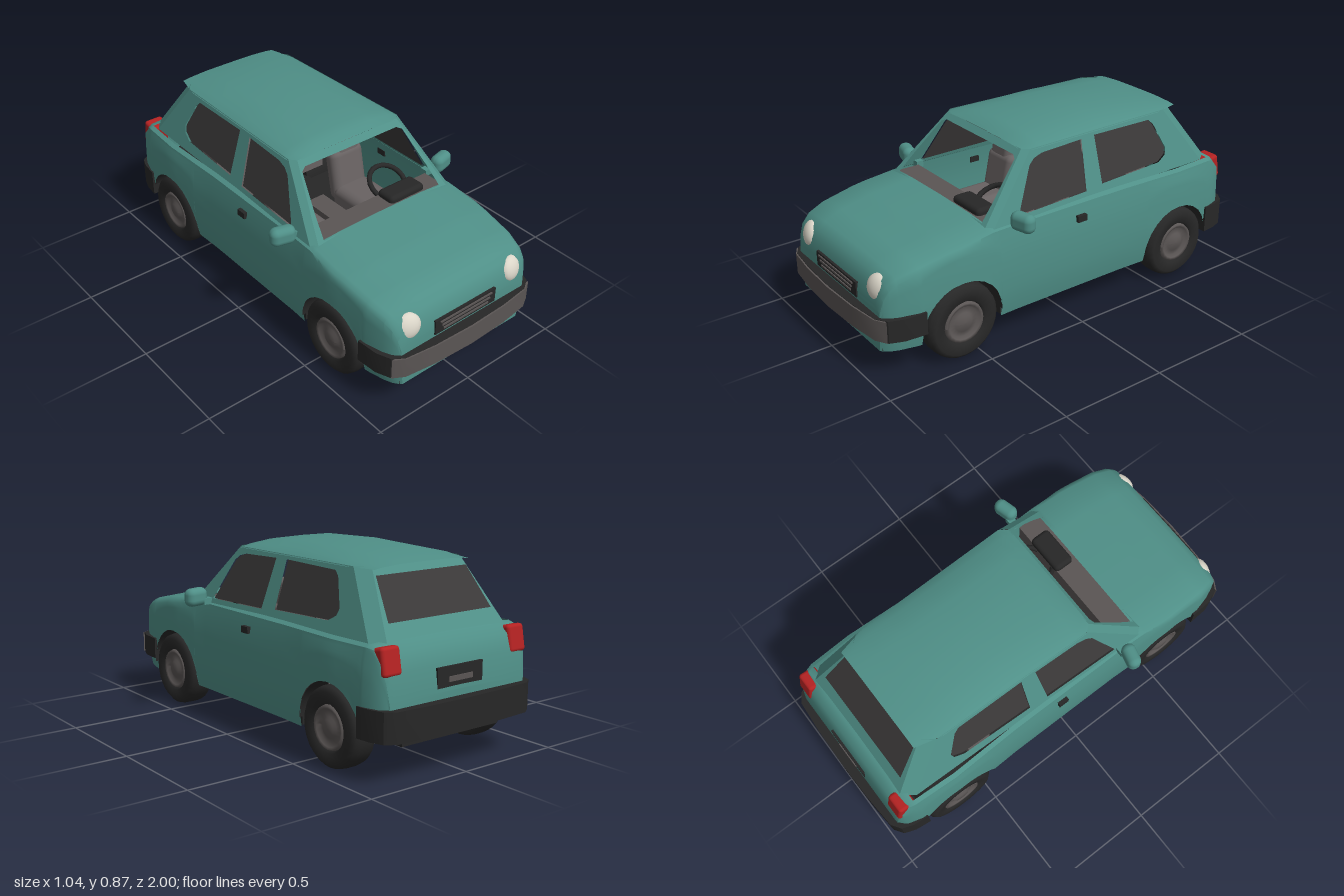
import * as THREE from 'three';
import { toCreasedNormals } from 'three/addons/utils/BufferGeometryUtils.js';
import { RoundedBoxGeometry } from 'three/addons/geometries/RoundedBoxGeometry.js';

const mat = (name, color, side = THREE.FrontSide) => {
  const m = new THREE.MeshStandardMaterial({ color, side });
  m.name = name;
  return m;
};

// piecewise-linear lookup in [[key, value], ...] with rising keys
const lookup = (t, k) => {
  if (k <= t[0][0]) return t[0][1];
  for (let i = 1; i < t.length; i++) {
    if (k <= t[i][0]) {
      const f = (k - t[i - 1][0]) / (t[i][0] - t[i - 1][0]);
      return t[i - 1][1] + f * (t[i][1] - t[i - 1][1]);
    }
  }
  return t[t.length - 1][1];
};

// surface through rows of points; skip(i, j) leaves a cell open
function surface(rows, crease, skip = () => false) {
  const n = rows[0].length, index = [];
  for (let i = 0; i < rows.length - 1; i++) for (let j = 0; j < n - 1; j++) {
    if (skip(i, j)) continue;
    const a = i * n + j, b = a + 1, c = a + n, d = c + 1;
    index.push(a, c, b, b, c, d);
  }
  const g = new THREE.BufferGeometry();
  g.setAttribute('position', new THREE.Float32BufferAttribute(rows.flat(2), 3));
  g.setIndex(index);
  return toCreasedNormals(g, crease);
}

const polygon = (pts) => new THREE.Shape(pts.map((p) => new THREE.Vector2(...p)));

// flat outline placed in space by a rule
function panel(shape, place) {
  const g = new THREE.ShapeGeometry(shape), p = g.attributes.position;
  for (let i = 0; i < p.count; i++) p.setXYZ(i, ...place(p.getX(i), p.getY(i)));
  g.computeVertexNormals();
  return g;
}

const WHEELS = [0.585, -0.64], AXLE = 0.173, ARCH = 0.195;
const TOP = [[-0.955, 0.34], [-0.94, 0.45], [-0.92, 0.525], [-0.88, 0.56], [-0.85, 0.565], [0.42, 0.565],
  [0.65, 0.537], [0.8, 0.508], [0.88, 0.483], [0.915, 0.455], [0.935, 0.41], [0.947, 0.35]];
const WIDTH = [[-0.955, 0.37], [-0.92, 0.405], [-0.85, 0.425], [-0.64, 0.437], [-0.3, 0.425], [0.3, 0.425],
  [0.585, 0.435], [0.8, 0.42], [0.9, 0.395], [0.93, 0.375], [0.947, 0.355]];
const FLANK = [[0.13, 0.955], [0.2, 0.985], [0.3, 1], [0.42, 0.99], [0.5, 0.975], [0.56, 0.93]];

// cabin planes: side, windscreen and hatch
const cabX = (y, z) => 0.385 + 0.02 * z - 0.31 * (y - 0.56);
const screenZ = (y) => 0.17 + 0.945 * (0.835 - y);
const hatchZ = (y) => -0.69 - 0.7 * (0.82 - y);

export function createModel() {
  const car = new THREE.Group();
  car.name = 'hatchback';
  const paint = mat('teal paint', 0x4f8f87, THREE.DoubleSide);
  const black = mat('black trim', 0x272727, THREE.DoubleSide);
  const glass = mat('dark glass', 0x3b3939, THREE.DoubleSide);
  const grey = mat('grey plastic', 0x5a5554);
  const cloth = mat('seat cloth', 0x686262);
  const cream = mat('headlamp cream', 0xdbd6c9);
  const red = mat('lamp red', 0xb32222);
  const add = (name, geo, m, x = 0, y = 0, z = 0, parent = car) => {
    const mesh = new THREE.Mesh(geo, m);
    mesh.name = name;
    mesh.position.set(x, y, z);
    parent.add(mesh);
    return mesh;
  };
  const box = (w, h, d) => new THREE.BoxGeometry(w, h, d);

  // lower body: cross-sections along z, sills lifted over the wheels
  const stations = TOP.map((t) => t[0]).concat([-0.3, -0.1, 0.1, 0.3]);
  for (const c of WHEELS) {
    for (let k = 0; k <= 12; k++) stations.push(c + ARCH * Math.cos(k * Math.PI / 12));
    stations.push(c + ARCH + 0.003, c - ARCH - 0.003);
  }
  stations.sort((a, b) => b - a);
  const section = (z) => {
    let low = z < -0.7 ? 0.19 : 0.13;
    for (const c of WHEELS) {
      const d = Math.abs(z - c);
      if (d < ARCH + 0.001) low = AXLE + Math.sqrt(Math.max(0, ARCH ** 2 - d ** 2));
    }
    const top = lookup(TOP, z), w = lookup(WIDTH, z), shoulder = top - 0.04, half = [];
    for (let k = 0; k <= 6; k++) {
      const y = low + (shoulder - low) * k / 6;
      half.push([w * lookup(FLANK, y), y, z]);
    }
    half.push([w * 0.95, top - 0.024, z], [w * 0.905, top - 0.012, z], [w * 0.55, top - 0.003, z]);
    const right = half.map(([x, y]) => [-x, y, z]).reverse();
    return [...half, [0, top, z], ...right];
  };
  const rows = stations.map(section);
  const closed = (r) => r.map(([, y, z]) => [0, y, z]);
  rows.unshift(closed(rows[0]));
  rows.push(closed(rows[rows.length - 1]));
  const overCabin = (i, j) => j >= 8 && j <= 11 && rows[i][0][2] <= 0.421 && rows[i + 1][0][2] >= -0.851;
  add('lowerBody', surface(rows, 0.7, overCabin), paint);

  // underside
  add('floor', box(0.54, 0.06, 1.84), black, 0, 0.163, 0.01);
  add('floorMiddle', box(0.8, 0.05, 0.82), black, 0, 0.157, -0.025);
  add('floorFront', box(0.7, 0.05, 0.15), black, 0, 0.157, 0.865);
  add('floorRear', box(0.76, 0.04, 0.11), black, 0, 0.21, -0.89);

  // cabin sides with window openings, pillars and glass
  const low = 0.545, high = 0.818;
  const windows = [
    [[0.275, 0.568], [0.175, 0.755], [0.145, 0.778], [0.1, 0.79], [-0.125, 0.796], [-0.105, 0.575]],
    [[-0.2, 0.585], [-0.2, 0.798], [-0.53, 0.792], [-0.555, 0.77], [-0.61, 0.65], [-0.6, 0.62], [-0.555, 0.595]],
  ];
  for (const s of [1, -1]) {
    const side = polygon([[screenZ(low) - 0.03, low], [screenZ(high) - 0.03, high],
      [hatchZ(high) + 0.06, high], [hatchZ(low) + 0.06, low]]);
    side.holes = windows.map(polygon);
    add('cabinSide', panel(side, (z, y) => [s * cabX(y, z), y, z]), paint);
    for (const w of windows) {
      add('sideWindow', panel(polygon(w), (z, y) => [s * (cabX(y, z) - 0.008), y, z]), glass);
    }
    const strip = (zEdge, zPlane, inset) => surface([low, high].map((y) => [
      [s * cabX(y, zEdge(y)), y, zEdge(y)], [s * (cabX(y, zEdge(y)) - inset), y, zPlane(y)]]), 0.5);
    add('frontPillar', strip((y) => screenZ(y) - 0.03, screenZ, 0.025), paint);
    add('rearPillar', strip((y) => hatchZ(y) + 0.06, hatchZ, 0.045), paint);
  }

  // open windscreen frame and hatch
  const edge = (y, z, inset) => cabX(y, z) - inset;
  const quad = (xl, yl, xh, yh) => [[-xl, yl], [xl, yl], [xh, yh], [-xh, yh]];
  const frame = polygon(quad(edge(low, screenZ(low) - 0.03, 0.025), low, edge(high, screenZ(high) - 0.03, 0.025), high));
  frame.holes = [polygon([[-0.335, 0.56], [0.335, 0.56], [0.32, 0.64], [0.285, 0.78], [0.26, 0.792],
    [-0.26, 0.792], [-0.285, 0.78], [-0.32, 0.64]])];
  add('windscreenFrame', panel(frame, (x, y) => [x, y, screenZ(y)]), paint);
  const hatch = polygon(quad(edge(low, hatchZ(low) + 0.06, 0.045), low, edge(high, hatchZ(high) + 0.06, 0.045), high));
  add('hatch', panel(hatch, (x, y) => [x, y, hatchZ(y)]), paint);
  add('rearWindow', panel(polygon(quad(0.285, 0.618, 0.25, 0.787)), (x, y) => [x, y, hatchZ(y) - 0.006]), glass);
  add('rearWindowInside', panel(polygon(quad(0.3, 0.58, 0.25, 0.8)), (x, y) => [x, y, hatchZ(y) + 0.006]), glass);

  // cambered roof with rear lip
  const CROWN = [[-0.73, 0.825], [-0.6, 0.848], [-0.25, 0.866], [0.1, 0.852], [0.15, 0.842], [0.19, 0.822]];
  const roof = [0.19, 0.15, 0.1, -0.05, -0.25, -0.45, -0.6, -0.73].map((z) => {
    const w = cabX(high, z) + 0.004 - (z > 0.16 || z < -0.7 ? 0.03 : 0);
    return [1, 0.96, 0.85, 0.5, 0, -0.5, -0.85, -0.96, -1].map((u) =>
      [w * u, 0.813 + (lookup(CROWN, z) - 0.813) * (1 - Math.abs(u) ** 4), z]);
  });
  add('roof', surface(roof, 1), paint);

  // bumpers wrapping round the corners
  const bumper = (pts, y, h) => {
    const left = pts.map(([x, z]) => [-x, z]).reverse();
    const g = new THREE.ExtrudeGeometry(polygon([...pts, ...left].map(([x, z]) => [x, -z])),
      { depth: h, bevelEnabled: false });
    return toCreasedNormals(g.rotateX(-Math.PI / 2).translate(0, y, 0), 0.6);
  };
  add('frontBumper', bumper([[0.38, 0.77], [0.432, 0.77], [0.425, 0.87], [0.4, 0.935], [0.35, 0.967],
    [0.2, 0.985], [0, 0.992]], 0.192, 0.103), black);
  add('frontBumperFace', bumper([[0.37, 0.94], [0.402, 0.943], [0.35, 0.973], [0.2, 0.992], [0, 1]], 0.196, 0.097), grey);
  add('rearBumper', bumper([[0.38, -0.825], [0.434, -0.825], [0.425, -0.9], [0.405, -0.955], [0.36, -0.985],
    [0.2, -0.996], [0, -1]], 0.18, 0.13), black);

  // grille and number plate recess
  add('grille', box(0.35, 0.07, 0.03), black, 0, 0.343, 0.938);
  for (let k = 0; k < 3; k++) add('grilleSlat', box(0.3 - k * 0.02, 0.008, 0.008), grey, 0, 0.365 - k * 0.02, 0.954);
  add('plateRecess', box(0.25, 0.085, 0.03), black, 0, 0.395, -0.938);
  add('plateLamp', box(0.13, 0.022, 0.008), grey, 0, 0.385, -0.954);

  // wheels, arch liners, lamps, mirrors, handles and seats on both sides
  const tyre = new THREE.LatheGeometry([[0.085, -0.065], [0.15, -0.065], [0.169, -0.048], [0.174, -0.025], [0.174, 0.025],
    [0.169, 0.048], [0.15, 0.065], [0.105, 0.062], [0.092, 0.04]].map((p) => new THREE.Vector2(...p)), 28);
  const hub = new THREE.LatheGeometry([[0.097, 0.045], [0.092, 0.06], [0.08, 0.058], [0.07, 0.045], [0.045, 0.05],
    [0.035, 0.06], [0, 0.062]].map((p) => new THREE.Vector2(...p)), 20);
  const liner = new THREE.CylinderGeometry(ARCH, ARCH, 0.165, 24, 1, true, 0, Math.PI).rotateZ(Math.PI / 2);
  const linerWall = new THREE.CircleGeometry(ARCH, 24, 0, Math.PI).rotateY(Math.PI / 2);
  hub.computeVertexNormals();
  for (const s of [1, -1]) {
    for (const z of WHEELS) {
      const wheel = new THREE.Group();
      wheel.name = 'wheel';
      wheel.position.set(s * 0.368, 0.174, z);
      wheel.rotation.z = -s * Math.PI / 2;
      add('tyre', tyre, black, 0, 0, 0, wheel);
      add('hubcap', hub, grey, 0, 0, 0, wheel).material.side = THREE.DoubleSide;
      car.add(wheel);
      add('archLiner', liner, black, s * 0.342, AXLE, z);
      add('archWall', linerWall, black, s * 0.262, AXLE, z);
    }
    const lamp = add('headlamp', new THREE.SphereGeometry(1, 20, 12), cream, s * 0.3, 0.4, 0.912);
    lamp.scale.set(0.062, 0.06, 0.034);
    lamp.rotation.set(-0.25, s * 0.25, 0);
    add('tailLamp', new RoundedBoxGeometry(0.095, 0.118, 0.085, 2, 0.015), red, s * 0.347, 0.487, -0.893).rotation.x = 0.18;
    const mirror = add('doorMirror', new RoundedBoxGeometry(0.115, 0.085, 0.065, 3, 0.03), paint, s * 0.462, 0.578, 0.308);
    mirror.rotation.y = s * 0.25;
    add('mirrorStalk', box(0.07, 0.03, 0.035), paint, s * 0.395, 0.555, 0.3);
    add('doorHandle', box(0.02, 0.03, 0.05), black, s * 0.42, 0.478, -0.045);
    add('indicator', box(0.012, 0.016, 0.035), grey, s * 0.414, 0.44, 0.45);
    add('seatCushion', new RoundedBoxGeometry(0.2, 0.12, 0.28, 2, 0.04), cloth, s * 0.19, 0.36, 0.1);
    add('seatBack', new RoundedBoxGeometry(0.19, 0.26, 0.08, 2, 0.035), cloth, s * 0.19, 0.46, -0.05).rotation.x = -0.2;
    add('headrest', new RoundedBoxGeometry(0.14, 0.16, 0.07, 2, 0.03), cloth, s * 0.2, 0.62, -0.08).rotation.x = -0.15;
  }

  // dashboard, steering wheel and rear bench
  add('dashboard', box(0.72, 0.16, 0.12), grey, 0, 0.475, 0.37);
  add('console', box(0.1, 0.2, 0.4), grey, 0, 0.28, 0.15);
  add('instrumentHood', new RoundedBoxGeometry(0.2, 0.05, 0.1, 2, 0.02), black, 0.17, 0.56, 0.355);
  add('steeringWheel', new THREE.TorusGeometry(0.09, 0.012, 8, 20), black, 0.175, 0.555, 0.26).rotation.x = -1.0;
  add('rearBench', box(0.64, 0.3, 0.12), cloth, 0, 0.42, -0.45);
  return car;
}
